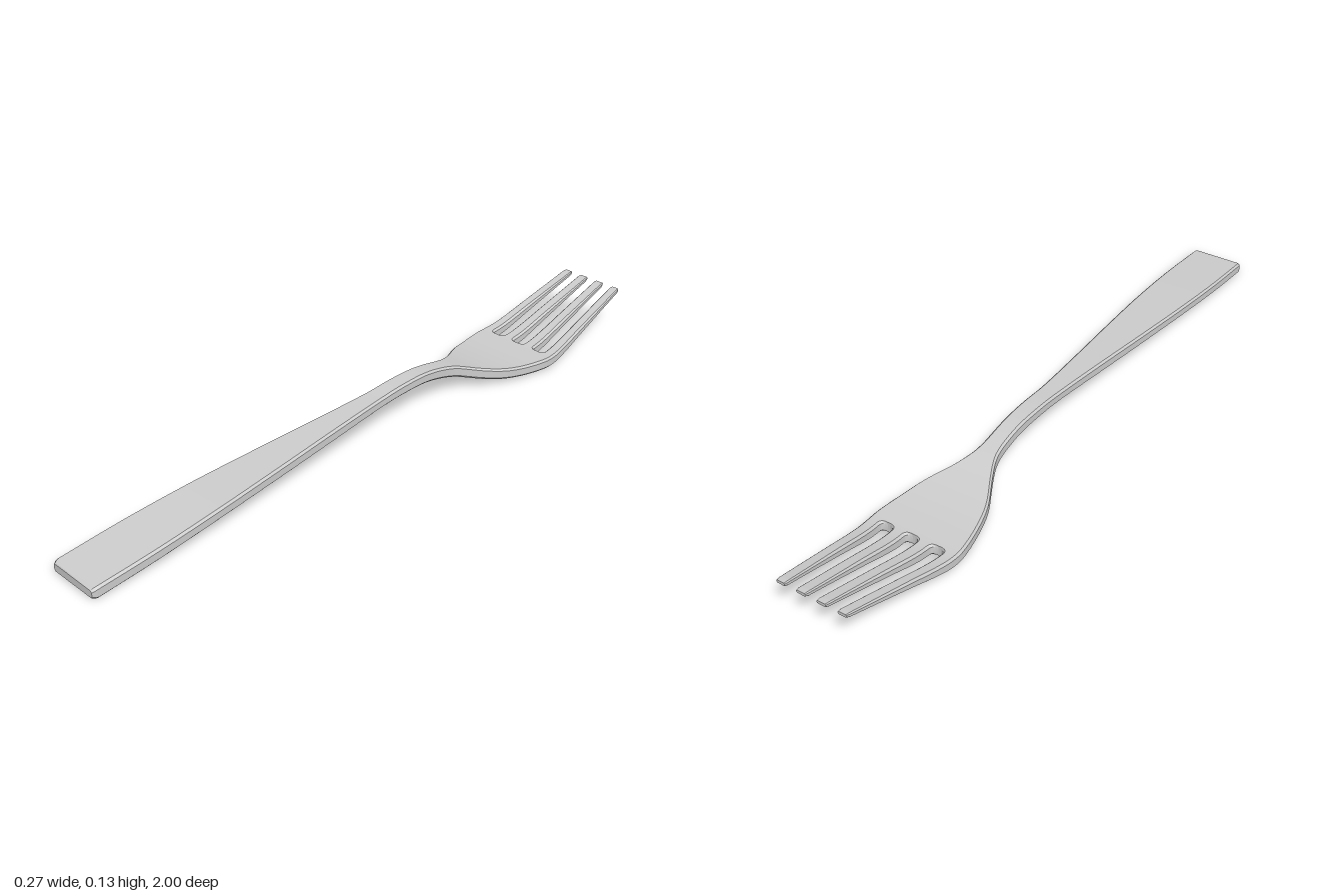
import * as THREE from 'three';
import { toCreasedNormals } from 'three/addons/utils/BufferGeometryUtils.js';

// Smooth curve through [z, value] pairs, listed from the handle end (z = 1) to the tips
function curve(points) {
  const slope = points.map((p, i) => {
    const a = points[Math.max(i - 1, 0)], b = points[Math.min(i + 1, points.length - 1)];
    return (b[1] - a[1]) / (b[0] - a[0]);
  });
  return (z) => {
    let i = 0;
    while (i < points.length - 2 && z < points[i + 1][0]) i++;
    const [z0, v0] = points[i], [z1, v1] = points[i + 1];
    const h = z1 - z0, t = THREE.MathUtils.clamp((z - z0) / h, 0, 1), s = 1 - t;
    return v0 * (1 + 2 * t) * s * s + slope[i] * h * t * s * s
      + v1 * t * t * (3 - 2 * t) - slope[i + 1] * h * t * t * s;
  };
}

// Side profile: upper and lower surface heights
const top = curve([[1, 0.035], [0.6, 0.068], [0.2, 0.095], [0, 0.108], [-0.1, 0.116], [-0.2, 0.115],
  [-0.3, 0.096], [-0.4, 0.066], [-0.5, 0.048], [-0.6, 0.042], [-0.65, 0.043], [-0.7, 0.052], [-0.8, 0.08], [-1, 0.135]]);
const bottom = curve([[1, 0.001], [0.6, 0.036], [0.2, 0.062], [0, 0.077], [-0.1, 0.084], [-0.2, 0.082],
  [-0.3, 0.061], [-0.4, 0.031], [-0.5, 0.015], [-0.6, 0.009], [-0.65, 0.01], [-0.7, 0.021], [-0.8, 0.055], [-0.9, 0.089], [-1, 0.122]]);

// Plan outline: half width of handle, neck and head
const halfWidth = curve([[1, 0.083], [0.8, 0.083], [0.6, 0.075], [0.4, 0.061], [0.2, 0.045], [0, 0.031],
  [-0.1, 0.029], [-0.27, 0.028], [-0.32, 0.035], [-0.37, 0.057], [-0.45, 0.099], [-0.52, 0.12],
  [-0.6, 0.135], [-0.64, 0.136], [-0.7, 0.131], [-1, 0.106]]);

// Loft of bevelled rectangles along z; edges(z) gives the left and right x, inset(z) shrinks the ends
function loft(rows, edges, inset) {
  const rings = rows.map((z) => {
    const d = inset(z);
    let [x0, x1] = edges(z);
    x0 += d; x1 -= d;
    const t = top(z) - d, b = bottom(z) + d, c = Math.min(0.006, (t - b) * 0.22);
    return [[x0 + c, b], [x1 - c, b], [x1, b + c], [x1, t - c],
      [x1 - c, t], [x0 + c, t], [x0, t - c], [x0, b + c]].map(([x, y]) => [x, y, z]);
  });
  const pos = [];
  const tri = (...corners) => corners.forEach((p) => pos.push(...p));
  for (let i = 0; i < rings.length - 1; i++) {
    for (let j = 0; j < 8; j++) {
      const k = (j + 1) % 8, r = rings[i], s = rings[i + 1];
      tri(r[j], s[j], r[k]);
      tri(r[k], s[j], s[k]);
    }
  }
  // End caps
  const first = rings[0], last = rings[rings.length - 1];
  for (let j = 1; j < 7; j++) {
    tri(first[0], first[j], first[j + 1]);
    tri(last[0], last[j + 1], last[j]);
  }
  const geometry = new THREE.BufferGeometry();
  geometry.setAttribute('position', new THREE.Float32BufferAttribute(pos, 3));
  return toCreasedNormals(geometry, 0.6);
}

const steps = (from, to, n) => Array.from({ length: n + 1 }, (_, i) => from + (to - from) * i / n);

export function createModel() {
  const fork = new THREE.Group();
  fork.name = 'fork';
  const material = new THREE.MeshStandardMaterial({ color: 0xcccccc });
  const add = (name, geometry) => {
    const mesh = new THREE.Mesh(geometry, material);
    mesh.name = name;
    fork.add(mesh);
  };

  // Handle, neck and solid part of the head, with a softened butt end
  const root = -0.63;
  add('handleAndHead', loft([1, 0.997, 0.992, 0.985, ...steps(0.97, root, 100)],
    (z) => [-halfWidth(z), halfWidth(z)],
    (z) => 0.006 * Math.max(0, (z - 0.985) / 0.015) ** 2));

  // Four tapering tines; fillets round the closed ends of the slots
  const r = 0.016;
  const fillet = (z) => {
    const d = root - z;
    return d < r ? r - Math.sqrt(Math.max(0, r * r - (r - d) ** 2)) : 0;
  };
  const taper = (z, atRoot, atTip) => THREE.MathUtils.mapLinear(z, root, -1, atRoot, atTip);
  const rows = [...steps(root, root - r, 8), ...steps(root - 0.03, -0.99, 24), -0.996, -1];
  const tipInset = (z) => 0.002 * Math.max(0, (-z - 0.99) / 0.01);
  const tines = {
    Outer: (z) => [taper(z, 0.099, 0.077) - fillet(z), halfWidth(z)],
    Inner: (z) => [taper(z, 0.02, 0.015) - fillet(z), taper(z, 0.06, 0.046) + fillet(z)],
  };
  for (const [name, edges] of Object.entries(tines)) {
    add('left' + name + 'Tine', loft(rows, edges, tipInset));
    add('right' + name + 'Tine', loft(rows, (z) => edges(z).map((x) => -x).reverse(), tipInset));
  }
  return fork;
}
